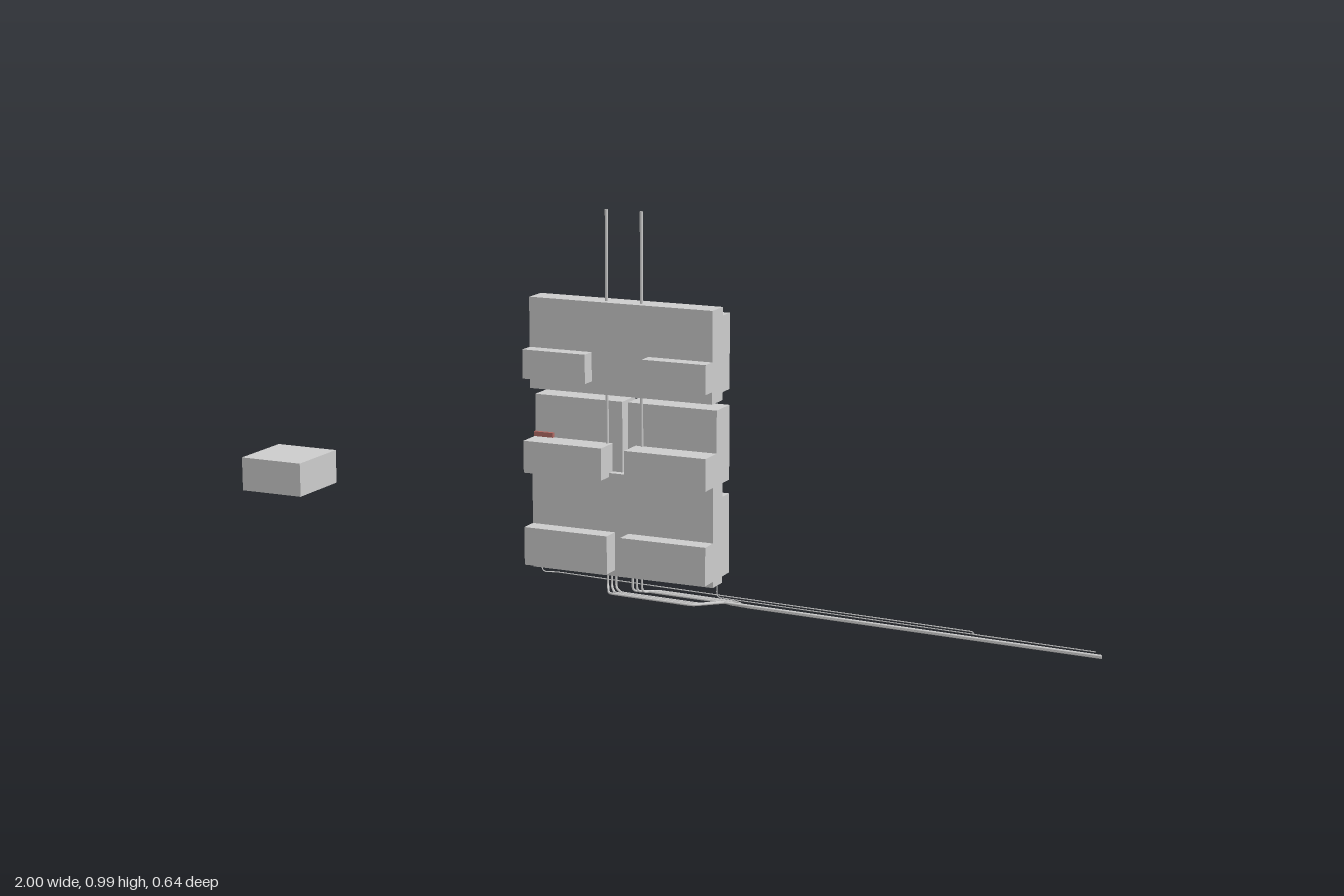
import * as THREE from 'three';

const grey = new THREE.MeshStandardMaterial({ color: 0xcccccc });
const red = new THREE.MeshStandardMaterial({ color: 0xb06a64 });

// Box given by its extents on each axis
function block(parent, name, [x0, x1], [y0, y1], [z0, z1], material = grey) {
  const mesh = new THREE.Mesh(new THREE.BoxGeometry(x1 - x0, y1 - y0, z1 - z0), material);
  mesh.position.set((x0 + x1) / 2, (y0 + y1) / 2, (z0 + z1) / 2);
  mesh.name = name;
  parent.add(mesh);
}

// Round pipe through straight runs with mitred-looking bends
function pipe(parent, name, points, radius) {
  const path = new THREE.CurvePath();
  const v = points.map((p) => new THREE.Vector3(...p));
  let start = v[0];
  for (let i = 1; i < v.length - 1; i++) {
    const bend = Math.min(0.012, v[i].distanceTo(v[i - 1]) / 2, v[i].distanceTo(v[i + 1]) / 2);
    const a = v[i].clone().add(v[i - 1].clone().sub(v[i]).setLength(bend));
    const b = v[i].clone().add(v[i + 1].clone().sub(v[i]).setLength(bend));
    path.add(new THREE.LineCurve3(start, a));
    path.add(new THREE.QuadraticBezierCurve3(a, v[i], b));
    start = b;
  }
  path.add(new THREE.LineCurve3(start, v[v.length - 1]));
  const mesh = new THREE.Mesh(new THREE.TubeGeometry(path, 240, radius, 8), grey);
  mesh.material.side = THREE.DoubleSide;
  mesh.name = name;
  parent.add(mesh);
}

export function createModel() {
  const model = new THREE.Group();
  const L = -0.488, R = 0.012;
  const halves = [[L, -0.245], [-0.229, R]];

  // Upper, middle and lower blocks; the middle one is split by a slot
  const housing = new THREE.Group();
  housing.name = 'housing';
  block(housing, 'upperBody', [L, R], [0.53, 0.762], [-0.276, -0.212]);
  block(housing, 'lowerBody', [L, R], [0.065, 0.33], [-0.277, -0.22]);
  for (const half of halves) {
    block(housing, 'upperBackPad', half, [0.55, 0.741], [-0.318, -0.276]);
    block(housing, 'middleBackPad', half, [0.32, 0.51], [-0.318, -0.24]);
    block(housing, 'lowerBackPad', half, [0.081, 0.285], [-0.318, -0.277]);
  }

  // Raised front tabs, one pair per level
  const tabs = [
    ['upperTab', -0.315, -0.16, [0.561, 0.635], -0.212],
    ['middleTab', -0.272, -0.208, [0.32, 0.402], -0.24],
    ['lowerTab', -0.257, -0.22, [0.081, 0.179], -0.22],
  ];
  for (const [name, inner, outer, y, z] of tabs) {
    block(housing, name, [L, inner], y, [z, -0.173]);
    block(housing, name, [outer, R], y, [z, -0.173]);
  }
  block(housing, 'sensorTip', [L, -0.435], [0.403, 0.415], [-0.24, -0.23], red);
  model.add(housing);

  // Separate block to the side
  block(model, 'looseBlock', [-1, -0.836], [0.33, 0.412], [0.154, 0.32]);

  // Upright rods rising through the housing
  for (const x of [-0.285, -0.19]) {
    pipe(model, 'uprightRod', [[x, 0.07, -0.237], [x, 0.99, -0.237]], 0.004);
  }

  // Pipes leaving the underside, fanning into lanes, then merging sideways
  const slope = (x) => 0.028 - 0.0185 * (x + 0.2);
  const starts = [-0.285, -0.274, -0.262, -0.216, -0.204, -0.19];
  const lanes = [-0.18, -0.19, -0.2, -0.25, -0.26, -0.268];
  starts.forEach((x, i) => {
    const turn = i < 3 ? -0.025 + 0.005 * i : 0.04 + 0.01 * (i - 3);
    const z = -0.24 + 0.002 * (i % 3 - 1);
    const merge = turn + Math.abs(lanes[i] - z);
    const dy = i < 3 ? 0.002 : -0.001;
    pipe(model, 'outletPipe', [
      [x, 0.07, -0.237],
      [x, slope(x) + dy, -0.237],
      [x + 0.03, slope(x + 0.03) + dy, lanes[i]],
      [turn, slope(turn) + dy, lanes[i]],
      [merge, slope(merge) + dy, z],
      [1, slope(1) + dy, z],
    ], 0.003);
  });

  // Thin wires from the two lower corners
  pipe(model, 'longWire', [
    [-0.485, 0.07, -0.262], [-0.485, 0.042, -0.262], [-0.45, 0.04, -0.28],
    [0.67, 0.017, -0.28], [0.675, 0.016, -0.262], [0.76, 0.014, -0.262],
  ], 0.0014);
  pipe(model, 'cornerWire', [
    [0.004, 0.07, -0.262], [0.004, 0.03, -0.262], [0.98, 0.01, -0.262],
  ], 0.0014);
  return model;
}
